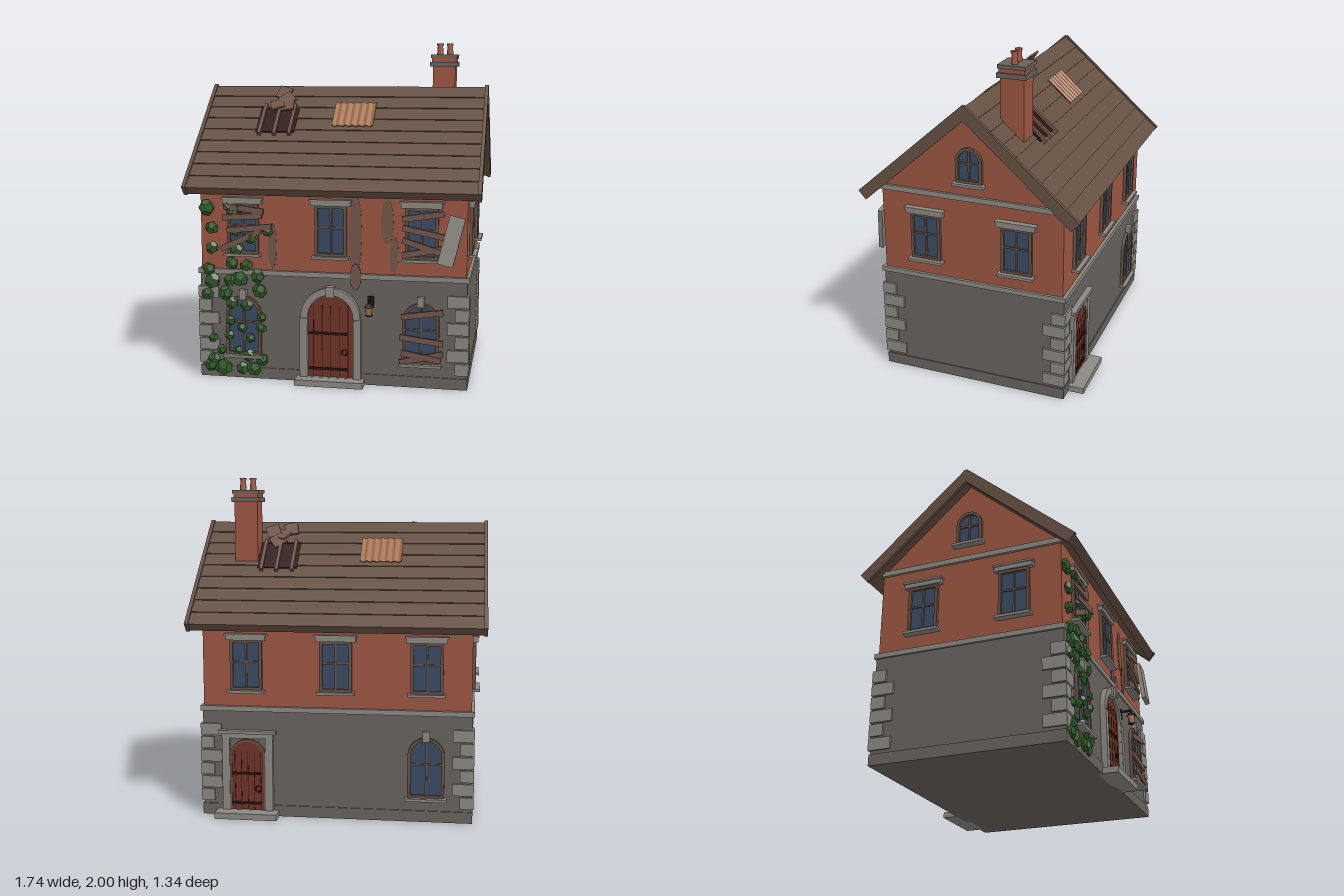
import * as THREE from 'three';

const mat = (name, color) => Object.assign(new THREE.MeshStandardMaterial({ color }), { name });
const M = {
  stone: mat('wallStone', 0x67635e), trim: mat('trimStone', 0x8b8882), brick: mat('brick', 0x9c5542),
  roof: mat('roofBrown', 0x655043), wood: mat('weatheredWood', 0x72564a), glass: mat('glass', 0x3a4a62),
  door: mat('doorRed', 0x703226), dark: mat('darkIron', 0x2a1413), ivy: mat('ivyGreen', 0x315a2a),
  patch: mat('copperPatch', 0xa06e49),
};

const ROOF_TILT = Math.atan(0.88), ROOF_LEN = 0.875, RIDGE_Y = 1.732;

function add(parent, name, geo, material, x = 0, y = 0, z = 0) {
  const m = new THREE.Mesh(geo, material);
  m.name = name;
  m.position.set(x, y, z);
  parent.add(m);
  return m;
}
const box = (p, name, material, w, h, d, x, y, z) => add(p, name, new THREE.BoxGeometry(w, h, d), material, x, y, z);

function group(parent, name, x = 0, y = 0, z = 0, ry = 0) {
  const g = new THREE.Group();
  g.name = name;
  g.position.set(x, y, z);
  g.rotation.y = ry;
  parent.add(g);
  return g;
}

// Opening outline, rectangular or round-topped, standing on y0
function outline(Type, w, h, arched, y0 = 0) {
  const p = new Type(), r = w / 2;
  p.moveTo(-r, y0);
  p.lineTo(r, y0);
  if (arched) {
    p.lineTo(r, y0 + h - r);
    p.absarc(0, y0 + h - r, r, 0, Math.PI, false);
  } else {
    p.lineTo(r, y0 + h);
    p.lineTo(-r, y0 + h);
  }
  p.closePath();
  return p;
}
const extrude = (shape, depth) => new THREE.ExtrudeGeometry(shape, { depth, bevelEnabled: false, curveSegments: 10 });

// Extrudes a (z, y) profile along x, centred
function extrudeX(points, width) {
  const g = extrude(new THREE.Shape(points.map(p => new THREE.Vector2(...p))), width);
  return g.rotateY(-Math.PI / 2).translate(width / 2, 0, 0);
}

function frame(p, name, material, w, h, t, depth, arched, openBottom) {
  const s = outline(THREE.Shape, w, h, arched);
  const y0 = openBottom ? 0.001 : t;
  s.holes.push(outline(THREE.Path, w - 2 * t, h - t - y0, arched, y0));
  return add(p, name, extrude(s, depth), material);
}

// Window facing +z, bottom centre at the origin
function makeWindow(parent, name, w, h, arched, top, x, y, z, ry) {
  const g = group(parent, name, x, y, z, ry);
  frame(g, 'frame', M.roof, w, h, 0.018, 0.02, arched);
  add(g, 'glass', extrude(outline(THREE.Shape, w - 0.02, h - 0.01, arched), 0.006), M.glass);
  box(g, 'mullion', M.roof, 0.011, h - 0.02, 0.014, 0, h / 2, 0.007);
  box(g, 'crossBar', M.roof, w - 0.02, 0.011, 0.014, 0, h * 0.56, 0.007);
  box(g, 'sill', M.trim, w + 0.03, 0.016, 0.045, 0, -0.006, 0.0225);
  if (top === 'lintel') {
    box(g, 'lintel', M.trim, w + 0.045, 0.028, 0.03, 0, h + 0.012, 0.015);
    box(g, 'lintelCap', M.trim, w + 0.06, 0.012, 0.036, 0, h + 0.03, 0.018);
  }
  if (top === 'keystone') box(g, 'keystone', M.trim, 0.042, 0.06, 0.032, 0, h + 0.01, 0.016);
}

// Tilted plank between two points on the front
function plank(parent, z, x1, y1, x2, y2) {
  const m = box(parent, 'plank', M.wood, Math.hypot(x2 - x1, y2 - y1), 0.034, 0.012, (x1 + x2) / 2, (y1 + y2) / 2, z);
  m.rotation.z = Math.atan2(y2 - y1, x2 - x1);
}

function door(parent, name, w, h, x, y, z, ry) {
  const g = group(parent, name, x, y, z, ry);
  add(g, 'doorLeaf', extrude(outline(THREE.Shape, w, h, true), 0.012), M.door);
  for (let i = -2; i <= 2; i++) box(g, 'plankGap', M.dark, 0.004, h - 0.07, 0.003, i * w / 5.4, h / 2 - 0.03, 0.0125);
  for (const t of [0.1, 0.53]) box(g, 'hingeStrap', M.dark, w * 0.85, 0.014, 0.008, -w * 0.05, h * t, 0.016);
  add(g, 'ringHandle', new THREE.TorusGeometry(0.017, 0.004, 6, 14), M.dark, w * 0.3, h * 0.31, 0.018);
  return g;
}

// One roof slope: local z runs down the slope, y is its outward normal
function roofSlope(parent, name, ry, holeX, patchX, slates) {
  const g = group(group(parent, name, 0, RIDGE_Y, 0, ry), 'slope');
  g.rotation.x = ROOF_TILT;
  const n = 9, pts = [[0, -0.05], [0, 0]];
  for (let i = 1; i <= n; i++) {
    const u = ROOF_LEN * i / n;
    pts.push([u, 0.006], [u, i < n ? 0 : -0.05]);
  }
  add(g, 'shingleCourses', extrudeX(pts.reverse(), 1.7), M.roof);
  for (const s of [-1, 1]) box(g, 'vergeBoard', M.roof, 0.022, 0.068, ROOF_LEN + 0.006, s * 0.859, -0.022, ROOF_LEN / 2);
  // Hole with bare rafters and slipped slates
  box(g, 'roofHole', M.dark, 0.24, 0.008, 0.205, holeX, 0.006, 0.31);
  for (const dx of [-0.093, 0, 0.093]) box(g, 'rafter', M.wood, 0.02, 0.022, 0.255, holeX + dx, 0.014, 0.312);
  for (const [dx, u, r, tilt] of slates) {
    const m = box(g, 'slippedSlate', M.wood, 0.085, 0.012, 0.085, holeX + dx, 0.022, u);
    m.rotation.set(tilt, r, 0.1);
  }
  // Corrugated patch
  const sheet = new THREE.BoxGeometry(0.25, 0.006, 0.2, 48, 1, 1), a = sheet.attributes.position;
  for (let i = 0; i < a.count; i++) a.setY(i, a.getY(i) + 0.005 * Math.cos(a.getX(i) * Math.PI * 2 * 6 / 0.25));
  sheet.computeVertexNormals();
  add(g, 'corrugatedPatch', sheet, M.patch, patchX, 0.014, 0.262);
}

export function createModel() {
  const house = new THREE.Group();
  house.name = 'house';

  // Walls and bands
  const walls = group(house, 'walls');
  box(walls, 'lowerWall', M.stone, 1.59, 0.65, 1.13, 0, 0.325, 0);
  box(walls, 'plinth', M.stone, 1.604, 0.066, 1.144, 0, 0.033, 0);
  box(walls, 'floorBand', M.trim, 1.615, 0.03, 1.15, 0, 0.648, 0);
  const gable = [[-0.555, 0.655], [0.555, 0.655], [0.555, 1.185], [0, 1.68], [-0.555, 1.185]];
  add(walls, 'upperWall', extrudeX(gable, 1.58), M.brick);
  for (const s of [-1, 1]) box(walls, 'gableBand', M.trim, 0.03, 0.032, 1.12, s * 0.79, 1.178, 0);

  // Corner stones
  for (const sx of [-1, 1]) for (const sz of [-1, 1]) for (let i = 0; i < 6; i++) {
    const w = i % 2 ? 0.125 : 0.08, d = i % 2 ? 0.085 : 0.135;
    box(walls, 'cornerStone', M.trim, w, 0.07, d, sx * (0.808 - w / 2), 0.12 + i * 0.08, sz * (0.577 - d / 2));
  }

  // Windows
  const win = group(house, 'windows');
  for (const x of [-0.53, 0, 0.53]) {
    makeWindow(win, 'upperFrontWindow', 0.19, 0.3, false, 'lintel', x, 0.76, 0.555, 0);
    makeWindow(win, 'upperBackWindow', 0.19, 0.3, false, 'lintel', x, 0.76, -0.555, Math.PI);
  }
  for (const x of [-0.53, 0.53]) makeWindow(win, 'lowerFrontWindow', 0.215, 0.36, true, 'keystone', x, 0.145, 0.565, 0);
  makeWindow(win, 'lowerBackWindow', 0.215, 0.36, true, 'keystone', -0.53, 0.145, -0.565, Math.PI);
  for (const s of [-1, 1]) {
    for (const z of [-0.28, 0.28]) makeWindow(win, 'sideWindow', 0.185, 0.285, false, 'lintel', s * 0.79, 0.76, z, s * Math.PI / 2);
    makeWindow(win, 'gableWindow', 0.16, 0.21, true, '', s * 0.79, 1.272, 0, s * Math.PI / 2);
  }

  // Front door with arched surround
  const front = door(house, 'frontDoor', 0.28, 0.5, 0, 0.036, 0.565, 0);
  frame(front, 'archSurround', M.trim, 0.355, 0.54, 0.042, 0.03, true, true);
  box(front, 'keystone', M.trim, 0.05, 0.065, 0.042, 0, 0.518, 0.021);
  for (const s of [-1, 1]) box(front, 'pilaster', M.trim, 0.046, 0.355, 0.036, s * 0.16, 0.178, 0.018);
  box(house, 'frontStep', M.trim, 0.405, 0.036, 0.12, 0, 0.018, 0.605);

  // Back door with square surround
  const back = door(house, 'backDoor', 0.21, 0.42, 0.525, 0.036, -0.565, Math.PI);
  frame(back, 'doorFrame', M.roof, 0.22, 0.43, 0.015, 0.018, true, true);
  for (const s of [-1, 1]) box(back, 'post', M.trim, 0.045, 0.44, 0.024, s * 0.13, 0.22, 0.012);
  box(back, 'lintel', M.trim, 0.31, 0.03, 0.026, 0, 0.452, 0.013);
  box(back, 'lintelCap', M.trim, 0.345, 0.018, 0.036, 0, 0.475, 0.018);
  box(house, 'backStep', M.trim, 0.37, 0.036, 0.12, 0.525, 0.018, -0.605);

  // Boarded windows and hanging shutter
  const boards = group(house, 'boards');
  for (const [z, ...ends] of [
    [0.583, -0.64, 1.045, -0.4, 1.015], [0.583, -0.65, 0.975, -0.41, 0.99], [0.59, -0.62, 0.9, -0.35, 0.93],
    [0.583, -0.66, 0.785, -0.42, 0.9], [0.583, 0.42, 0.995, 0.66, 1.03], [0.583, 0.42, 0.945, 0.68, 0.89],
    [0.59, 0.42, 0.875, 0.66, 0.8], [0.583, 0.42, 0.785, 0.66, 0.83], [0.593, 0.42, 0.425, 0.66, 0.46],
    [0.593, 0.41, 0.305, 0.66, 0.275], [0.6, 0.42, 0.215, 0.65, 0.175], [0.593, 0.41, 0.155, 0.66, 0.215],
  ]) plank(boards, z, ...ends);
  box(boards, 'hangingShutter', M.trim, 0.09, 0.285, 0.028, 0.703, 0.88, 0.607).rotation.set(-0.16, 0, -0.235);

  // Damp stains
  for (const [x, y, rx, ry, z] of [
    [-0.355, 0.81, 0.027, 0.135, 0.556], [0.143, 0.89, 0.04, 0.24, 0.556], [0.33, 0.97, 0.037, 0.135, 0.556],
    [0.37, 0.775, 0.027, 0.115, 0.556], [0.147, 0.645, 0.034, 0.08, 0.573],
  ]) add(house, 'dampStain', new THREE.CylinderGeometry(1, 1, 0.006, 12).rotateX(Math.PI / 2), M.wood, x, y, z).scale.set(rx, ry, 1);

  // Ivy clumps: x, y, radius in hundredths
  const ivy = group(house, 'ivy');
  const clump = new THREE.DodecahedronGeometry(1, 0);
  [
    [-75, 103, 5], [-72, 91, 4], [-72, 79, 4], [-62, 104, 3], [-59, 100, 3], [-55, 103, 3], [-57, 89, 3], [-48, 86, 4],
    [-38, 90, 3.5], [-57, 78, 4], [-60, 70, 4], [-51, 69, 4], [-44, 63, 4.5], [-55, 61, 5], [-72, 59, 5], [-74, 66, 4],
    [-61, 60, 4], [-64, 52, 4.5], [-75, 51, 4], [-60, 46, 4], [-43, 54, 4.5], [-51, 45, 4], [-42, 38, 3], [-42, 31, 3],
    [-61, 35, 3], [-54, 31, 3], [-62, 26, 3], [-49, 25, 3], [-72, 24, 3], [-67, 17, 3], [-56, 17, 3], [-50, 14, 4],
    [-42, 12, 4], [-72, 11, 4], [-74, 7, 4], [-66, 6, 5.5], [-54, 6, 4], [-47, 6, 4.5],
  ].forEach(([x, y, r], i) => {
    const m = add(ivy, 'ivyClump', clump, M.ivy, x / 100, y / 100, y > 67 ? 0.571 : 0.576);
    m.scale.set(r / 100, r / 100, 0.024);
    m.rotation.z = i * 1.3;
  });

  // Wall lantern
  const lamp = group(house, 'lantern', 0.237, 0.47, 0.637);
  box(lamp, 'wallPlate', M.dark, 0.036, 0.06, 0.012, 0, 0.035, -0.066);
  box(lamp, 'arm', M.dark, 0.012, 0.012, 0.075, 0, 0.05, -0.033);
  add(lamp, 'lampGlass', new THREE.CylinderGeometry(0.022, 0.018, 0.045, 6), M.patch, 0, -0.007, 0);
  add(lamp, 'lampCap', new THREE.CylinderGeometry(0.01, 0.031, 0.022, 6), M.dark, 0, 0.027, 0);
  add(lamp, 'lampBase', new THREE.CylinderGeometry(0.021, 0.021, 0.008, 6), M.dark, 0, -0.033, 0);

  // Roof
  roofSlope(house, 'frontRoof', 0, -0.397, 0.075, [[-0.02, 0.19, 0.3, -0.15], [0.035, 0.14, 0.7, 0.12], [0.005, 0.085, -0.35, 0.2], [0.045, 0.2, 0.1, -0.1]]);
  roofSlope(house, 'backRoof', Math.PI, -0.39, 0.235, [[-0.06, 0.11, 0.35, 0.12], [0.0, 0.14, -0.5, -0.15], [0.05, 0.09, 0.15, 0.2], [-0.02, 0.19, 0.6, 0.1]]);

  // Chimney
  const chimney = group(house, 'chimney', 0.585, 0, -0.2);
  box(chimney, 'stack', M.brick, 0.14, 0.5, 0.14, 0, 1.66, 0);
  box(chimney, 'lowerCap', M.stone, 0.172, 0.028, 0.172, 0, 1.87, 0);
  box(chimney, 'neck', M.brick, 0.15, 0.03, 0.15, 0, 1.895, 0);
  box(chimney, 'upperCap', M.stone, 0.165, 0.022, 0.165, 0, 1.918, 0);
  for (const s of [-1, 1]) {
    add(chimney, 'pot', new THREE.CylinderGeometry(0.016, 0.021, 0.075, 12), M.brick, s * 0.031, 1.9595, 0);
    add(chimney, 'potRim', new THREE.CylinderGeometry(0.021, 0.021, 0.012, 12), M.brick, s * 0.031, 1.994, 0);
  }
  return house;
}
